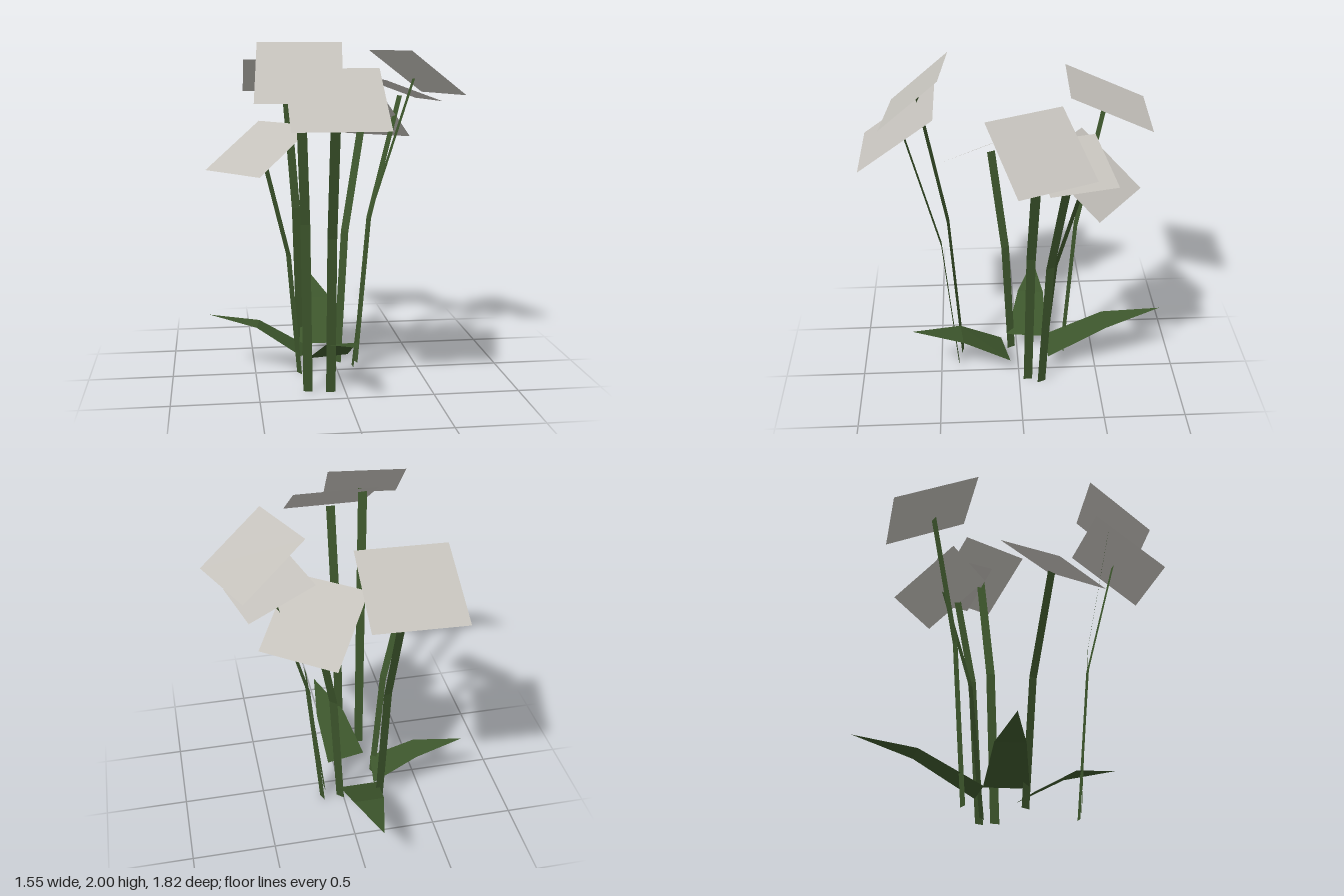
import * as THREE from 'three';

const petalGrey = new THREE.MeshStandardMaterial({ name: 'petalGrey', color: 0xc4c1bb, side: THREE.DoubleSide });
const stemGreen = new THREE.MeshStandardMaterial({ name: 'stemGreen', color: 0x3d562c, side: THREE.DoubleSide });

// Flat-shaded strip through rows of [left, right] points; a row of one point closes to a tip
function strip(name, rows, material) {
  const pos = [];
  for (let i = 0; i < rows.length - 1; i++) {
    const [a, b] = rows[i];
    const [c, d] = rows[i + 1];
    pos.push(...a, ...b, ...c);
    if (d) pos.push(...b, ...d, ...c);
  }
  const geo = new THREE.BufferGeometry();
  geo.setAttribute('position', new THREE.Float32BufferAttribute(pos, 3));
  geo.computeVertexNormals();
  const mesh = new THREE.Mesh(geo, material);
  mesh.name = name;
  return mesh;
}

// Ribbon stem bending outward, its width square to the direction of lean
function stem(base, top) {
  const [x0, z0] = base;
  const [x1, y1, z1] = top;
  const len = Math.hypot(x1 - x0, z1 - z0);
  const wx = (-(z1 - z0) / len) * 0.0275;
  const wz = ((x1 - x0) / len) * 0.0275;
  const rows = [[0, 0], [0.55, 0.3], [1, 1]].map(([h, out]) => {
    const x = x0 + (x1 - x0) * out;
    const z = z0 + (z1 - z0) * out;
    return [[x + wx, y1 * h, z + wz], [x - wx, y1 * h, z - wz]];
  });
  return strip('stem', rows, stemGreen);
}

// Each flower: two upper corners, two lower corners, stem foot [x, z], stem top
const flowers = [
  { high: [[-0.02, 1.89, -0.295], [-0.537, 1.89, -0.31]], low: [[-0.01, 1.675, -0.775], [-0.527, 1.675, -0.795]],
    foot: [-0.195, -0.3], top: [-0.265, 1.74, -0.523] },
  { high: [[0.29, 1.677, -0.09], [-0.09, 1.677, -0.37]], low: [[0.524, 1.4, -0.41], [0.145, 1.4, -0.69]],
    foot: [0.02, -0.15], top: [0.207, 1.505, -0.37] },
  { high: [[0.296, 1.775, -0.04], [0.205, 1.775, -0.41]], low: [[0.667, 1.64, -0.13], [0.576, 1.64, -0.5]],
    foot: [0.135, -0.14], top: [0.425, 1.67, -0.26] },
  { high: [[0.407, 1.95, 0.198], [0.224, 1.95, -0.226]], low: [[0.773, 1.685, 0.04], [0.59, 1.685, -0.385]],
    foot: [0.105, -0.055], top: [0.476, 1.78, -0.08] },
  { high: [[-0.455, 1.53, -0.159], [-0.161, 1.53, 0.207]], low: [[-0.778, 1.27, 0.1], [-0.484, 1.27, 0.466]],
    foot: [-0.235, 0.037], top: [-0.45, 1.36, 0.148] },
  { high: [[-0.487, 2, 0.395], [-0.03, 2, 0.448]], low: [[-0.523, 1.69, 0.747], [-0.07, 1.69, 0.8]],
    foot: [-0.215, 0.36], top: [-0.27, 1.81, 0.577] },
  { high: [[-0.347, 1.86, 0.475], [0.172, 1.86, 0.475]], low: [[-0.347, 1.555, 0.905], [0.172, 1.555, 0.905]],
    foot: [-0.085, 0.385], top: [-0.087, 1.67, 0.66] },
];

// Each leaf: base pair, middle pair, tip
const leaves = [
  [[[-0.19, 0.115, -0.19], [-0.225, 0.115, 0.065]], [[-0.465, 0.28, -0.19], [-0.49, 0.28, -0.02]], [[-0.775, 0.34, -0.14]]],
  [[[-0.19, 0.115, 0.106], [0.058, 0.115, 0.055]], [[-0.11, 0.28, 0.37], [0.075, 0.28, 0.35]], [[0.035, 0.35, 0.67]]],
  [[[0.03, 0.115, -0.19], [-0.215, 0.115, -0.19]], [[0.02, 0.32, -0.55], [-0.165, 0.32, -0.55]], [[-0.075, 0.4, -0.91]]],
];

export function createModel() {
  const model = new THREE.Group();
  model.name = 'flowerClump';
  for (const f of flowers) {
    const flower = new THREE.Group();
    flower.name = 'flower';
    flower.add(strip('flowerHead', [f.high, f.low], petalGrey), stem(f.foot, f.top));
    model.add(flower);
  }
  for (const rows of leaves) model.add(strip('leaf', rows, stemGreen));
  return model;
}
